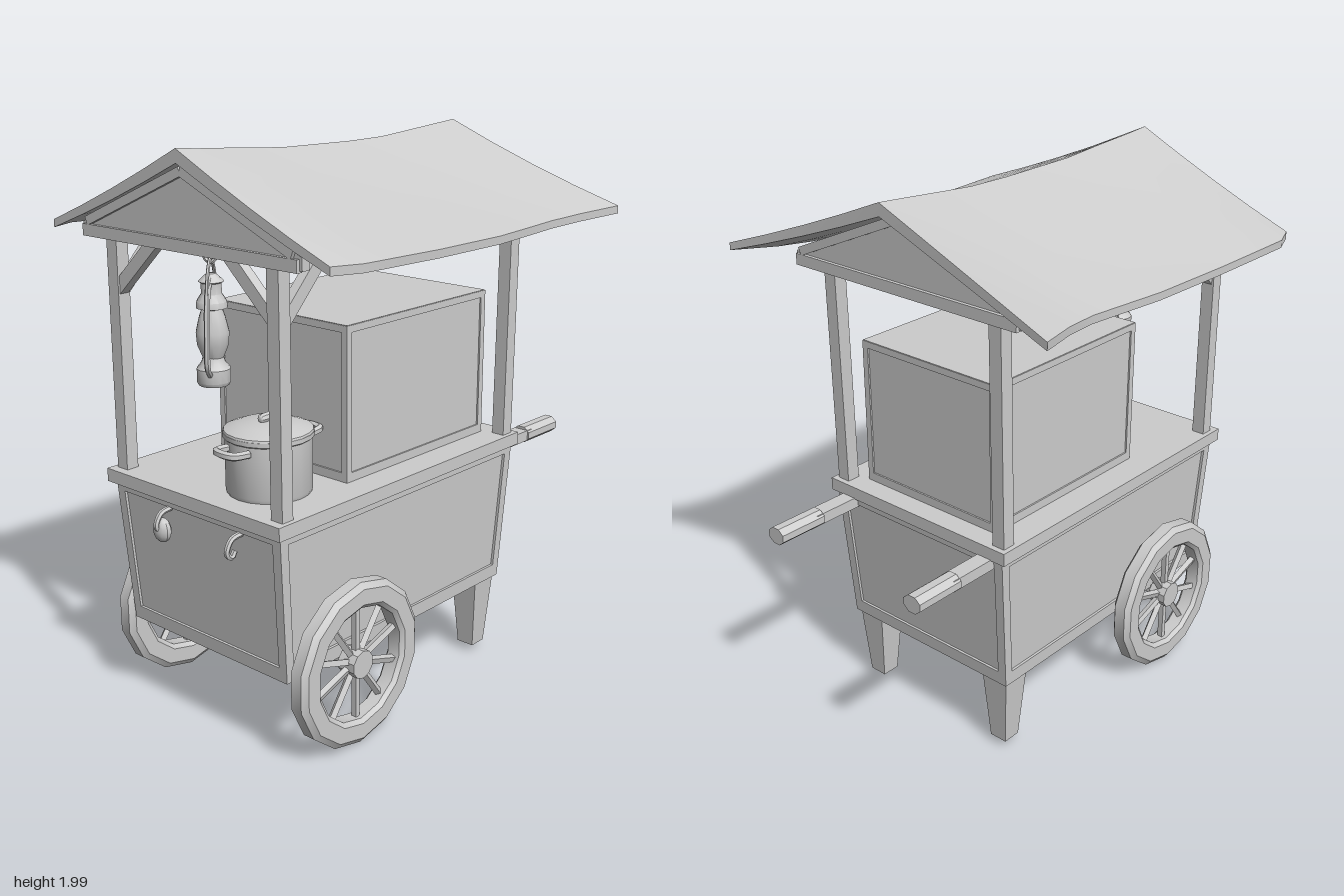
import * as THREE from 'three';
import { toCreasedNormals } from 'three/addons/utils/BufferGeometryUtils.js';

const V = (x, y, z) => new THREE.Vector3(x, y, z);

export function createModel() {
  const root = new THREE.Group();
  root.name = 'foodCart';
  const grey = new THREE.MeshStandardMaterial({ color: 0xcccccc, side: THREE.DoubleSide });
  grey.name = 'plain grey';

  const add = (name, geo, parent = root, x = 0, y = 0, z = 0) => {
    const m = new THREE.Mesh(toCreasedNormals(geo, 0.6), grey);
    m.name = name;
    m.position.set(x, y, z);
    parent.add(m);
    return m;
  };
  const group = (name, parent = root, x = 0, y = 0, z = 0) => {
    const g = new THREE.Group();
    g.name = name;
    g.position.set(x, y, z);
    parent.add(g);
    return g;
  };
  // Box spanning min and max corners
  const span = (x0, x1, y0, y1, z0, z1) =>
    new THREE.BoxGeometry(x1 - x0, y1 - y0, z1 - z0).translate((x0 + x1) / 2, (y0 + y1) / 2, (z0 + z1) / 2);
  // Square bar between two points
  const bar = (name, a, b, w, d, parent = root) => {
    const dir = b.clone().sub(a);
    const m = add(name, new THREE.BoxGeometry(w, dir.length(), d), parent);
    m.position.copy(a).add(b).multiplyScalar(0.5);
    m.quaternion.setFromUnitVectors(V(0, 1, 0), dir.normalize());
    return m;
  };
  const tube = (name, pts, r, parent) =>
    add(name, new THREE.TubeGeometry(new THREE.CatmullRomCurve3(pts), 16, r, 6), parent);
  const lathe = (name, pts, n, parent) =>
    add(name, new THREE.LatheGeometry(pts.map(p => new THREE.Vector2(...p)), n), parent);

  // Box with a raised frame round each side panel; warp reshapes every piece
  function panelBox(name, x0, x1, y0, y1, z, f, lift, warp = g => g) {
    const g = group(name);
    add('panelCore', warp(span(x0 + lift, x1 - lift, y0, y1, -z + lift, z - lift)), g);
    for (const s of [-1, 1]) {
      for (const [a, b] of [[x0, x0 + f], [x1 - f, x1]])
        add('cornerPost', warp(span(a, b, y0, y1, s * z - (s > 0 ? f : 0), s * z + (s < 0 ? f : 0))), g);
      for (const [a, b] of [[y0, y0 + f * 1.4], [y1 - f, y1]]) {
        add('sideRail', warp(span(x0 + f, x1 - f, a, b, s > 0 ? z - f : -z, s > 0 ? z : -z + f)), g);
        add('endRail', warp(span(s > 0 ? x1 - f : x0, s > 0 ? x1 : x0 + f, a, b, -z + f, z - f)), g);
      }
    }
  }

  // Body narrowing toward the floor
  const taper = geo => {
    const p = geo.attributes.position;
    for (let i = 0; i < p.count; i++) {
      const k = (0.84 - p.getY(i)) / 0.53;
      p.setX(i, -0.148 + (p.getX(i) + 0.148) * (1 - 0.065 * k));
      p.setZ(i, p.getZ(i) * (1 - 0.045 * k));
    }
    return geo;
  };
  panelBox('cartBody', -0.767, 0.47, 0.31, 0.84, 0.395, 0.036, 0.01, taper);
  add('counterTop', span(-0.79, 0.483, 0.835, 0.882, -0.415, 0.415));
  panelBox('displayBox', -0.355, 0.4, 0.88, 1.42, 0.305, 0.024, 0.006);
  add('displayBoxLid', span(-0.353, 0.398, 1.41, 1.422, -0.303, 0.303));

  // Wheels
  for (const s of [-1, 1]) {
    const wheel = group('wheel', root, -0.45, 0.302, s * 0.428);
    wheel.rotation.x = Math.PI / 2;
    lathe('tyre', [[0.205, -0.025], [0.22, -0.038], [0.275, -0.038], [0.296, -0.022], [0.296, 0.022],
      [0.275, 0.038], [0.22, 0.038], [0.205, 0.025], [0.205, -0.025]], 14, wheel);
    add('hub', new THREE.CylinderGeometry(0.05, 0.05, 0.07, 10), wheel);
    for (let i = 0; i < 10; i++) {
      const a = (i + 0.5) * Math.PI / 5, c = Math.cos(a), n = Math.sin(a);
      bar('spoke', V(c * 0.04, 0, n * 0.04), V(c * 0.215, 0, n * 0.215), 0.02, 0.02, wheel);
    }
  }
  bar('axle', V(-0.45, 0.302, -0.42), V(-0.45, 0.302, 0.42), 0.035, 0.035);

  // Legs and push handles
  for (const s of [-1, 1]) {
    const leg = new THREE.CylinderGeometry(0.078, 0.049, 0.28, 4, 3).rotateY(Math.PI / 4);
    add('leg', leg, root, 0.362, 0.175, s * 0.311);
    add('handleArm', span(0.44, 0.66, 0.798, 0.838, -0.03, 0.03), root, 0, 0, s * 0.327);
    const grip = new THREE.CylinderGeometry(0.046, 0.046, 0.19, 8).rotateY(Math.PI / 8).rotateZ(Math.PI / 2);
    add('handleGrip', grip.scale(1, 0.72, 0.86), root, 0.728, 0.818, s * 0.327);
  }

  // Posts, braces and eave beams
  for (const s of [-1, 1]) {
    bar('backPost', V(-0.733, 0.87, s * 0.372), V(-0.733, 1.72, s * 0.37), 0.048, 0.05);
    bar('frontPost', V(0.437, 0.87, s * 0.372), V(0.45, 1.74, s * 0.37), 0.05, 0.05);
    bar('lengthBrace', V(-0.73, 1.5, s * 0.37), V(-0.53, 1.71, s * 0.37), 0.045, 0.035);
    bar('crossBrace', V(-0.733, 1.51, s * 0.365), V(-0.733, 1.71, s * 0.15), 0.035, 0.045);
    add('eaveBeam', span(-0.75, 0.49, 1.68, 1.73, s * 0.375 - 0.03, s * 0.375 + 0.03));
  }

  // Gable ends with raised trim
  for (const [x, out] of [[-0.765, -1], [0.47, 1]]) {
    const gable = group('gable', root, x);
    const shape = new THREE.Shape([[-0.5, 1.685], [0.5, 1.685], [0.5, 1.725], [0, 1.945], [-0.5, 1.725]]
      .map(p => new THREE.Vector2(...p)));
    add('gablePanel', new THREE.ExtrudeGeometry(shape, { depth: 0.03, bevelEnabled: false })
      .rotateY(-Math.PI / 2).translate(0.03, 0, 0), gable);
    const t = out > 0 ? 0.032 : -0.002;
    bar('tieBeam', V(t, 1.7, -0.49), V(t, 1.7, 0.49), 0.022, 0.04, gable);
    for (const s of [-1, 1])
      bar('rafterTrim', V(t, 1.73, s * 0.47), V(t, 1.93, 0), 0.022, 0.03, gable);
  }

  // Sagging roof: x, ridge height, eave height, eave half width
  const stations = [
    [-0.79, 2.0, 1.72, 0.63], [-0.69, 1.992, 1.72, 0.67], [-0.5, 1.98, 1.715, 0.664], [-0.33, 1.967, 1.71, 0.657],
    [0, 1.963, 1.707, 0.645], [0.17, 1.966, 1.71, 0.632], [0.32, 1.978, 1.715, 0.625], [0.46, 1.99, 1.725, 0.648],
    [0.585, 2.0, 1.74, 0.7]];
  const ts = [-1, -0.75, -0.5, -0.25, 0, 0.25, 0.5, 0.75, 1];
  const verts = [], faces = [];
  const ring = ts.length * 2;
  stations.forEach(([x, ridge, eave, half], i) => {
    const point = (t, drop) => {
      const a = Math.abs(t);
      const flare = i === stations.length - 1 ? 0.04 * a * a : 0;
      verts.push(x + flare, ridge - (ridge - eave) * (a + 0.12 * a * (1 - a)) - drop * (0.045 - 0.018 * a), t * half);
    };
    ts.forEach(t => point(t, 0));
    [...ts].reverse().forEach(t => point(t, 1));
    if (i === 0) return;
    for (let j = 0; j < ring; j++) {
      const a = (i - 1) * ring + j, b = (i - 1) * ring + (j + 1) % ring;
      faces.push(a, b, b + ring, a, b + ring, a + ring);
    }
  });
  const last = (stations.length - 1) * ring;
  for (let j = 0; j < ts.length - 1; j++) {
    const a = j, b = j + 1, c = ring - 2 - j, d = ring - 1 - j;
    faces.push(a, c, b, a, d, c);
    faces.push(last + a, last + b, last + c, last + a, last + c, last + d);
  }
  const roof = new THREE.BufferGeometry();
  roof.setAttribute('position', new THREE.Float32BufferAttribute(verts, 3));
  roof.setIndex(faces);
  add('roof', roof);

  // Cooking pot
  const pot = group('pot', root, -0.565, 0.88, 0.15);
  lathe('potBody', [[0, 0], [0.14, 0], [0.145, 0.015], [0.145, 0.19], [0.152, 0.195], [0.152, 0.21], [0, 0.21]], 20, pot);
  lathe('potLid', [[0.152, 0.205], [0.148, 0.217], [0.1, 0.235], [0.04, 0.243], [0, 0.244]], 20, pot);
  add('lidKnob', new THREE.CapsuleGeometry(0.017, 0.05, 4, 8).rotateZ(Math.PI / 2), pot, 0, 0.253, 0);
  for (const s of [-1, 1])
    tube('potHandle', [V(s * 0.14, 0.17, -0.05), V(s * 0.195, 0.175, -0.04), V(s * 0.2, 0.175, 0.04), V(s * 0.14, 0.17, 0.05)], 0.014, pot);

  // Hanging lantern
  const lantern = group('lantern', root, -0.66, 1.235, 0);
  lantern.rotation.y = 0.6;
  lathe('lanternBase', [[0, 0], [0.05, 0], [0.056, 0.012], [0.056, 0.055], [0.04, 0.075], [0.034, 0.095]], 14, lantern);
  lathe('lanternGlobe', [[0.034, 0.09], [0.052, 0.135], [0.055, 0.175], [0.043, 0.225], [0.034, 0.25]], 14, lantern);
  lathe('lanternCap', [[0.034, 0.25], [0.052, 0.255], [0.05, 0.275], [0.034, 0.3], [0.034, 0.335], [0.042, 0.34], [0.015, 0.365], [0, 0.367]], 14, lantern);
  for (const s of [-1, 1])
    tube('lanternArm', [V(s * 0.045, 0.04, 0), V(s * 0.082, 0.07, 0), V(s * 0.078, 0.19, 0), V(s * 0.055, 0.31, 0), V(s * 0.02, 0.35, 0)], 0.01, lantern);
  tube('lanternBail', [V(-0.066, 0.26, 0), V(-0.05, 0.36, 0), V(0, 0.415, 0), V(0.05, 0.36, 0), V(0.066, 0.26, 0)], 0.006, lantern);
  tube('lanternHook', [V(0, 0.415, 0.02), V(0, 0.4, 0), V(0, 0.42, -0.02), V(0, 0.445, 0), V(0, 0.48, 0)], 0.007, lantern);
  bar('hangingBeam', V(-0.66, 1.71, -0.38), V(-0.66, 1.71, 0.38), 0.03, 0.03);

  // Hooks on the end panel, one with a small pouch
  for (const z of [-0.13, 0.21]) {
    const hook = group('wallHook', root, -0.76, 0.78, z);
    tube('hookWire', [V(0.01, 0.02, 0), V(-0.04, 0.01, 0), V(-0.06, -0.03, 0), V(-0.04, -0.05, 0), V(-0.025, -0.03, 0)], 0.01, hook);
    if (z < 0) add('pouch', new THREE.SphereGeometry(0.038, 10, 8).scale(0.7, 1.15, 1), hook, -0.035, -0.048, 0);
  }
  return root;
}
